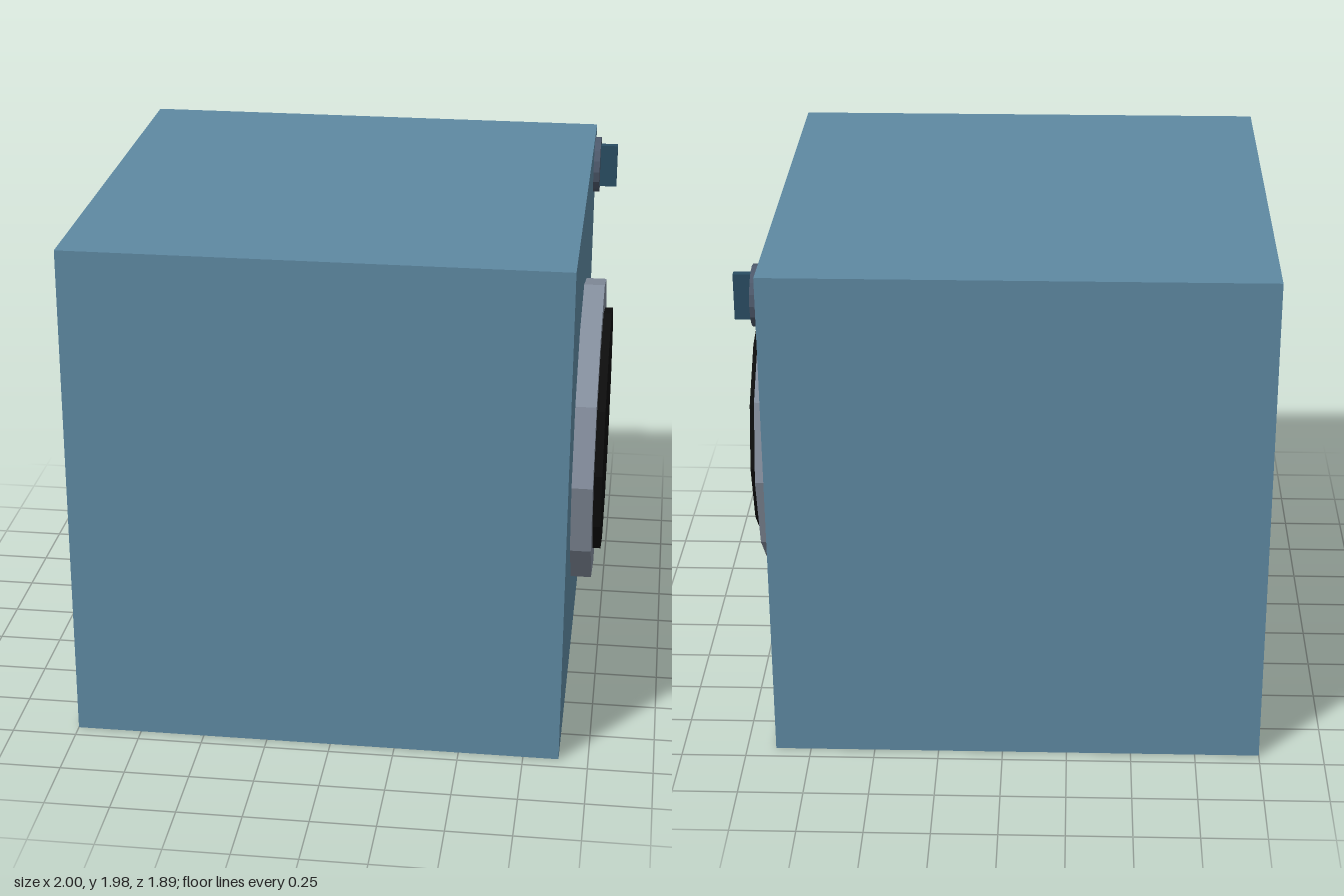
import * as THREE from 'three';

export function createModel() {
  const model = new THREE.Group();

  function add(name, geometry, color, x, y, z) {
    const material = new THREE.MeshStandardMaterial({ color, flatShading: true });
    const mesh = new THREE.Mesh(geometry, material);
    mesh.name = name;
    mesh.position.set(x, y, z);
    model.add(mesh);
  }

  // Disc with its axis along x, spanning x0 to x1
  function addDisc(name, radius, sides, x0, x1, y, z, color) {
    const geometry = new THREE.CylinderGeometry(radius, radius, x1 - x0, sides).rotateZ(-Math.PI / 2);
    add(name, geometry, color, (x0 + x1) / 2, y, z);
  }

  // Cabinet
  add('cabinet', new THREE.BoxGeometry(1.887, 1.984, 1.887), 0x5e89a2, -0.0565, 0.992, 0);

  // Round door: twelve-sided frame with a dark window standing proud of it
  addDisc('doorFrame', 0.608, 12, 0.86, 0.968, 0.994, 0, 0x858f9e);
  addDisc('doorWindow', 0.49, 12, 0.94, 1.0, 0.994, 0, 0x0d0d0d);

  // Control dial with its grip bar
  addDisc('dial', 0.115, 16, 0.87, 0.912, 1.855, -0.79, 0x4d596b);
  add('dialGrip', new THREE.BoxGeometry(0.09, 0.176, 0.032), 0x2a4d63, 0.937, 1.853, -0.79);

  return model;
}
